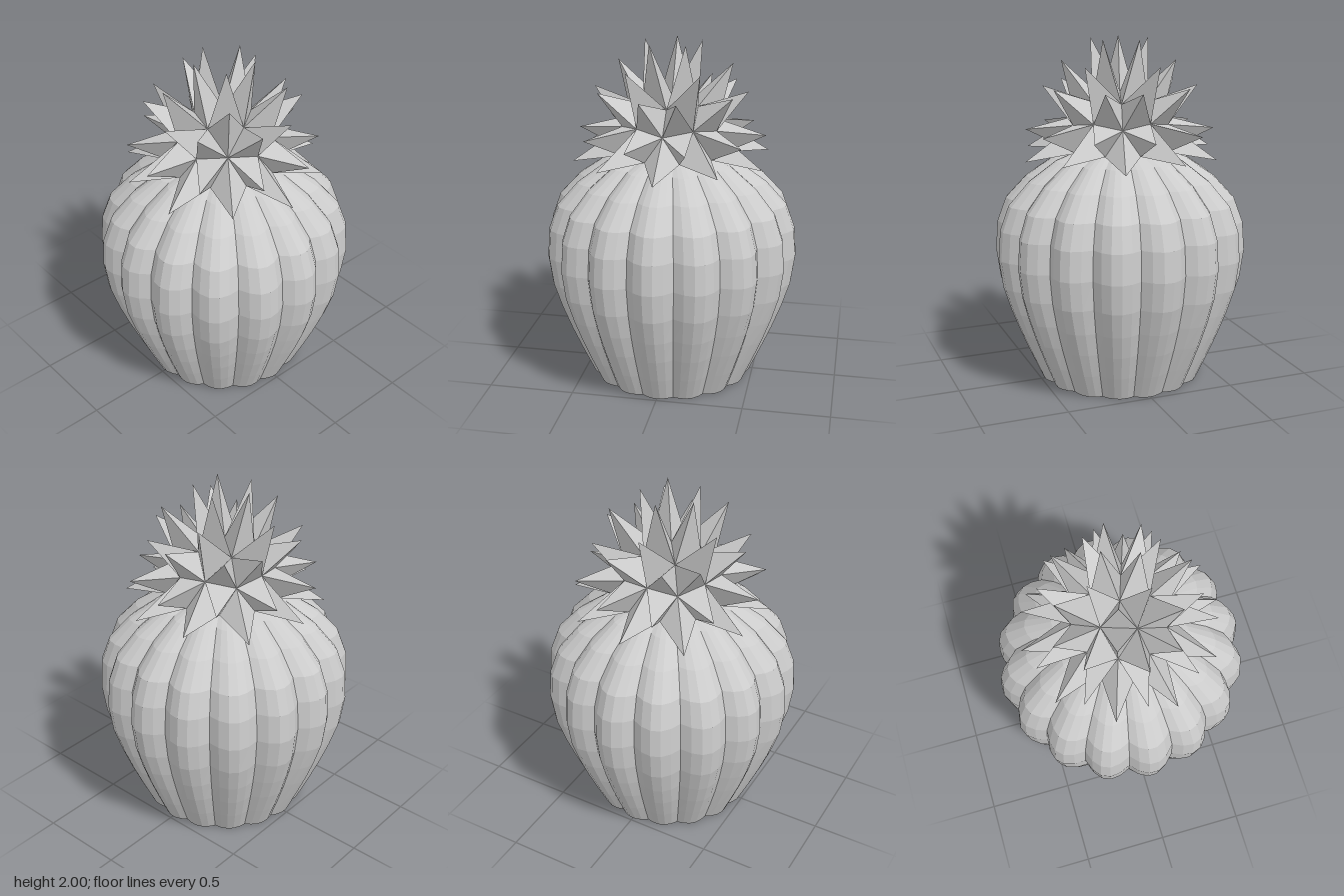
import * as THREE from 'three';

const LOBES = 16, PER_LOBE = 5;

// Ribbed barrel: rings of [height, outer radius], scalloped by the ribs, open below
function ribbedBody() {
  const rings = [
    [0, 0.48], [0.15, 0.548], [0.3, 0.612], [0.44, 0.665], [0.59, 0.712], [0.76, 0.735],
    [0.93, 0.722], [1.07, 0.67], [1.2, 0.55], [1.31, 0.39], [1.365, 0.24], [1.385, 0.1], [1.39, 0.001],
  ];
  const n = LOBES * PER_LOBE, pos = [], idx = [];
  rings.forEach(([y, r]) => {
    const depth = 0.055 + 0.037 * Math.min(1, y / 0.6);
    for (let i = 0; i < n; i++) {
      const th = ((i + 0.5) / n) * Math.PI * 2;
      const bulge = Math.abs(Math.cos((th * LOBES) / 2)) / Math.cos(Math.PI / 10);
      const rad = r * (1 - depth * (1 - bulge));
      pos.push(Math.cos(th) * rad, y, Math.sin(th) * rad);
    }
  });
  for (let j = 0; j < rings.length - 1; j++) {
    for (let i = 0; i < n; i++) {
      const k = (i + 1) % n;
      const a = j * n + i, b = j * n + k, c = a + n, d = b + n;
      idx.push(a, c, b, b, c, d);
    }
  }
  const g = new THREE.BufferGeometry();
  g.setAttribute('position', new THREE.Float32BufferAttribute(pos, 3));
  g.setIndex(idx);
  g.computeVertexNormals();
  return g;
}

// Spiky crown: a three-sided spike on every upper face of a subdivided icosahedron
function spikyCrown() {
  const ico = new THREE.IcosahedronGeometry(0.32, 1);
  ico.rotateZ(-Math.atan(2 / (1 + Math.sqrt(5)))); // one corner straight up
  const p = ico.attributes.position, pos = [];
  const baseY = 1.37;
  for (let i = 0; i < p.count; i += 3) {
    const v = [0, 1, 2].map((k) => new THREE.Vector3().fromBufferAttribute(p, i + k));
    const dir = v[0].clone().add(v[1]).add(v[2]).normalize();
    if (dir.y < 0) continue; // buried in the body
    // tips lie on a taller, lower-centred ellipsoid
    const tip = new THREE.Vector3(dir.x * 0.58, 1.185 + dir.y * 0.854, dir.z * 0.58);
    v.forEach((q) => (q.y += baseY));
    for (let k = 0; k < 3; k++) {
      for (const q of [v[k], v[(k + 1) % 3], tip]) pos.push(q.x, q.y, q.z);
    }
  }
  const g = new THREE.BufferGeometry();
  g.setAttribute('position', new THREE.Float32BufferAttribute(pos, 3));
  g.computeVertexNormals();
  return g;
}

export function createModel() {
  const group = new THREE.Group();
  group.name = 'cactus';
  const material = new THREE.MeshStandardMaterial({
    color: 0xcccccc, flatShading: true, side: THREE.DoubleSide,
  });
  const body = new THREE.Mesh(ribbedBody(), material);
  body.name = 'ribbedBody';
  const crown = new THREE.Mesh(spikyCrown(), material);
  crown.name = 'spikyCrown';
  group.add(body, crown);
  return group;
}
